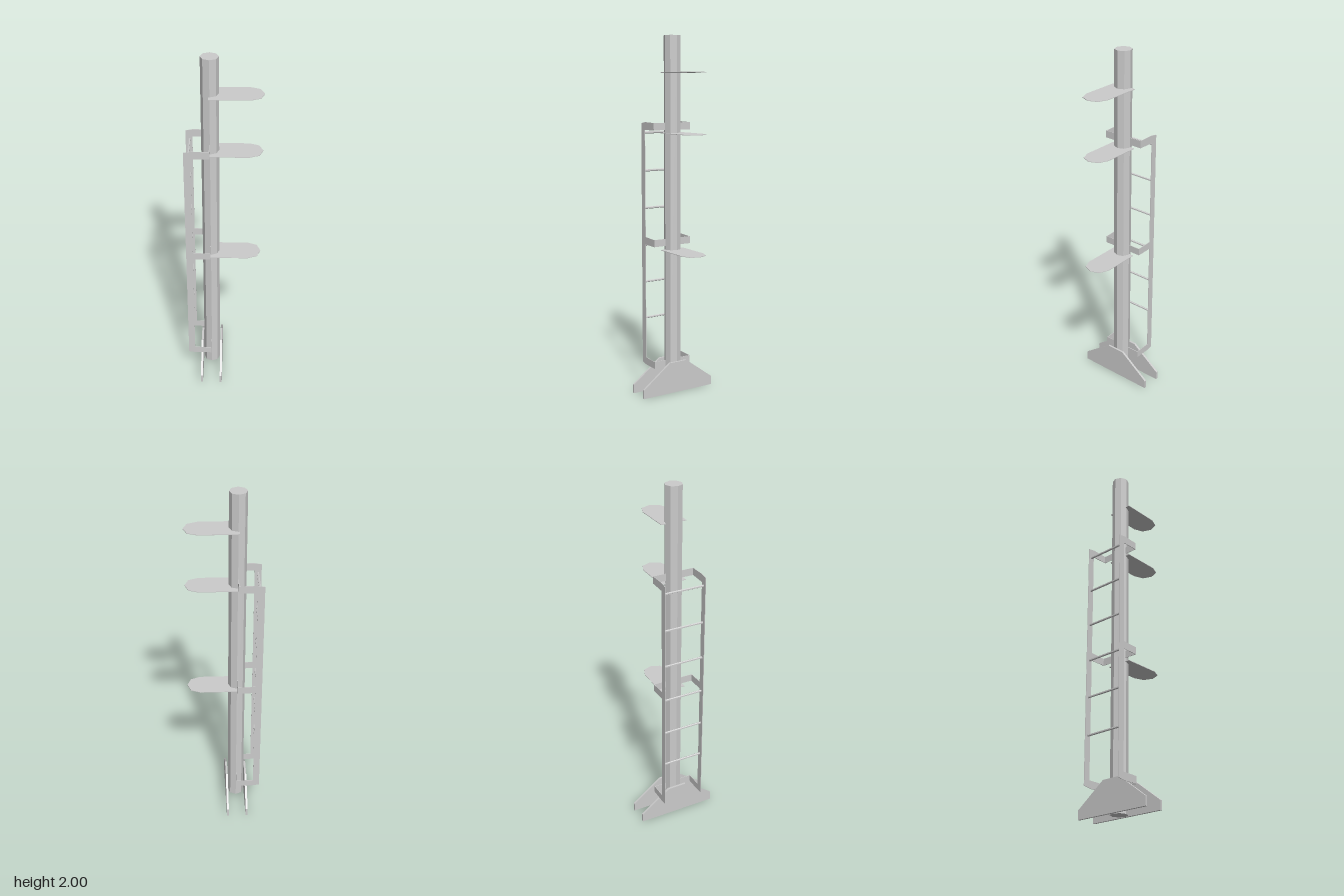
import * as THREE from 'three';

const material = new THREE.MeshStandardMaterial({ color: 0xcccccc, flatShading: true, side: THREE.DoubleSide });
const POLE_X = -0.072;

function add(parent, name, geometry, x = 0, y = 0, z = 0) {
  const mesh = new THREE.Mesh(geometry, material);
  mesh.name = name;
  mesh.position.set(x, y, z);
  parent.add(mesh);
  return mesh;
}

// Flat plate from an outline, centred on its thickness
function plate(points, depth) {
  const shape = new THREE.Shape(points.map(([x, y]) => new THREE.Vector2(x, y)));
  return new THREE.ExtrudeGeometry(shape, { depth, bevelEnabled: false }).translate(0, 0, -depth / 2);
}

export function createModel() {
  const model = new THREE.Group();
  model.name = 'climbingPole';

  // Octagonal pole
  add(model, 'pole', new THREE.CylinderGeometry(0.047, 0.047, 2, 8), POLE_X, 1, 0);

  // Pair of tapered base plates either side of the pole
  const foot = plate([[-0.227, 0], [0.227, 0], [0.227, 0.05], [0.055, 0.178], [-0.055, 0.178], [-0.227, 0.05]], 0.012);
  foot.rotateY(Math.PI / 2);
  for (const x of [-0.128, -0.016]) add(model, 'basePlate', foot, x);

  // Thin rounded platforms
  const platform = plate([[-0.078, -0.072], [0.132, -0.072], [0.185, -0.051], [0.205, 0],
    [0.185, 0.051], [0.132, 0.072], [-0.078, 0.072]], 0.003);
  platform.rotateX(-Math.PI / 2);
  for (const y of [0.82, 1.473, 1.8]) add(model, 'platform', platform, 0, y);

  // Ladder: flat side frames with three arms, each arm turning in to the pole
  const ladder = new THREE.Group();
  ladder.name = 'ladder';
  model.add(ladder);
  const frame = plate([[-0.207, 0.145], [-0.165, 0.138], [-0.075, 0.138], [-0.075, 0.178], [-0.17, 0.18],
    [-0.17, 0.843], [-0.075, 0.842], [-0.075, 0.882], [-0.17, 0.886],
    [-0.17, 1.487], [-0.075, 1.489], [-0.075, 1.529], [-0.165, 1.531], [-0.207, 1.524]], 0.003);
  const tab = new THREE.BoxGeometry(0.003, 0.04, 0.078);
  for (const side of [-1, 1]) {
    add(ladder, 'sideRail', frame, 0, 0, side * 0.117);
    for (const y of [0.158, 0.862, 1.509]) add(ladder, 'poleBracket', tab, -0.0745, y, side * 0.0795);
  }

  // Rungs
  const rung = new THREE.CylinderGeometry(0.0065, 0.0065, 0.234, 6).rotateX(Math.PI / 2);
  for (let i = 0; i < 6; i++) add(ladder, 'rung', rung, -0.187, 0.413 + i * 0.212, 0);

  return model;
}
